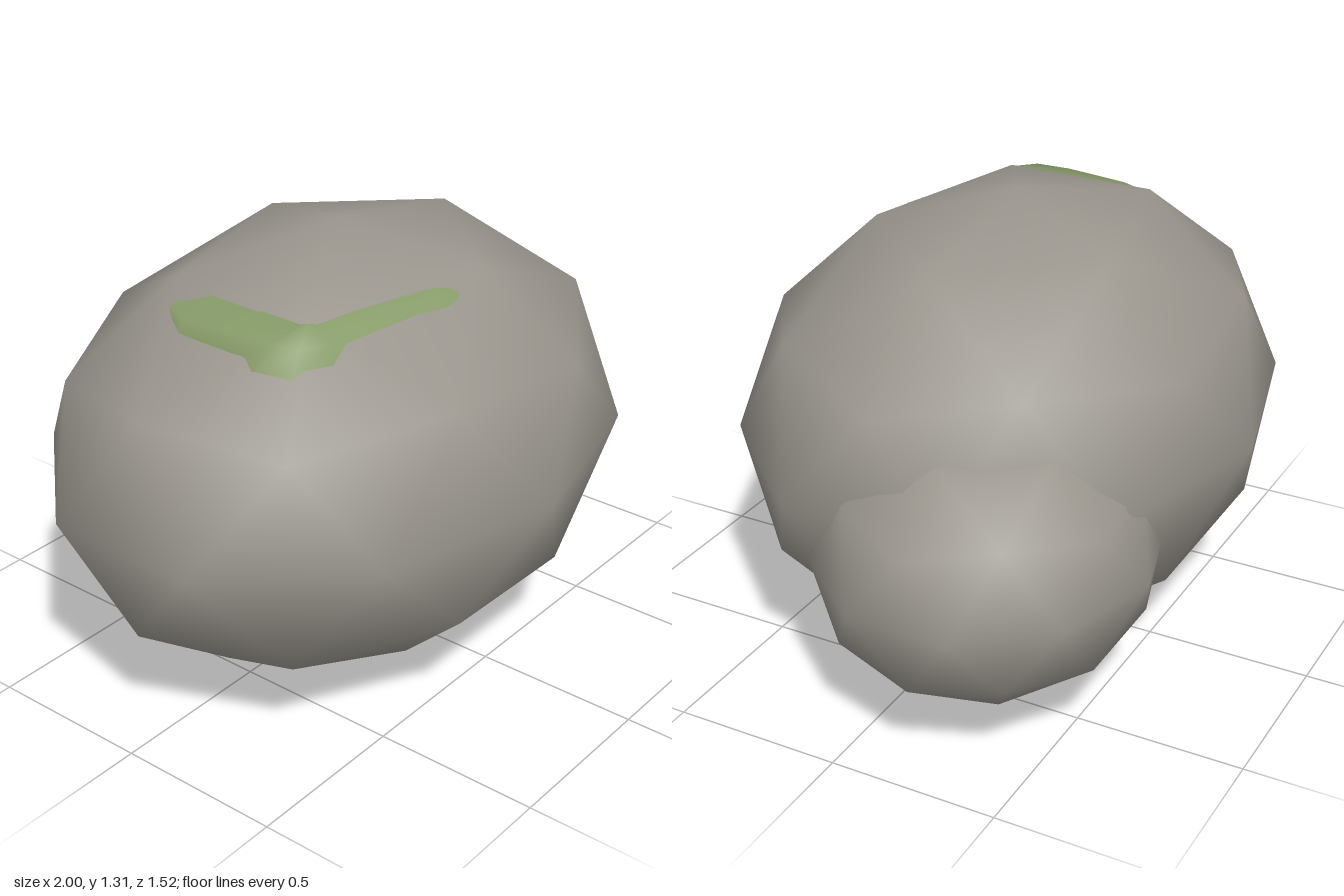
import * as THREE from 'three';

const stone = new THREE.MeshStandardMaterial({ color: 0x9a968e });
stone.name = 'warm grey stone';
const moss = new THREE.MeshStandardMaterial({ color: 0x869a68, side: THREE.DoubleSide });
moss.name = 'moss green';

// Low-poly smooth boulder: icosphere standing on a vertex, squashed to radii r
function boulder(name, r, centre) {
  const g = new THREE.IcosahedronGeometry(1, 1);
  g.rotateX(-Math.atan((1 + Math.sqrt(5)) / 2));
  g.rotateY(Math.PI / 2);
  g.scale(...r);
  const mesh = new THREE.Mesh(g, stone);
  mesh.name = name;
  mesh.position.set(...centre);
  return mesh;
}

// Strip of moss skinned over cross-sections: inner edge, raised shoulder, outer edge
function mossStrip() {
  const sections = [
    [[-0.55, 1.185, -0.17], [-0.585, 1.172, -0.175], [-0.61, 1.145, -0.16]],
    [[-0.5, 1.209, -0.08], [-0.625, 1.172, -0.09], [-0.652, 1.12, -0.09]],
    [[-0.5, 1.209, 0.1], [-0.625, 1.185, 0.1], [-0.652, 1.12, 0.1]],
    [[-0.5, 1.209, 0.235], [-0.62, 1.185, 0.21], [-0.665, 1.105, 0.18]],
    [[-0.5, 1.209, 0.24], [-0.585, 1.175, 0.28], [-0.62, 1.105, 0.29]],
    [[-0.495, 1.209, 0.245], [-0.5, 1.172, 0.315], [-0.52, 1.115, 0.345]],
    [[-0.13, 1.207, 0.345], [-0.12, 1.187, 0.39], [-0.11, 1.153, 0.425]],
    [[-0.06, 1.2, 0.37], [-0.05, 1.187, 0.4], [-0.05, 1.16, 0.422]],
  ];
  const index = [];
  for (let i = 0; i < sections.length - 1; i++) {
    for (let j = 0; j < 2; j++) {
      const a = i * 3 + j, c = a + 3;
      index.push(a, a + 1, c, a + 1, c + 1, c);
    }
  }
  const g = new THREE.BufferGeometry();
  g.setAttribute('position', new THREE.Float32BufferAttribute(sections.flat(2), 3));
  g.setIndex(index);
  g.computeVertexNormals();
  const mesh = new THREE.Mesh(g, moss);
  mesh.name = 'mossPatch';
  return mesh;
}

export function createModel() {
  const group = new THREE.Group();
  group.name = 'mossyRocks';
  group.add(boulder('largeRock', [0.967, 0.657, 0.76], [-0.08, 0.658, 0]));
  group.add(boulder('smallRock', [0.55, 0.42, 0.485], [0.477, 0.49, -0.21]));
  group.add(mossStrip());
  return group;
}
